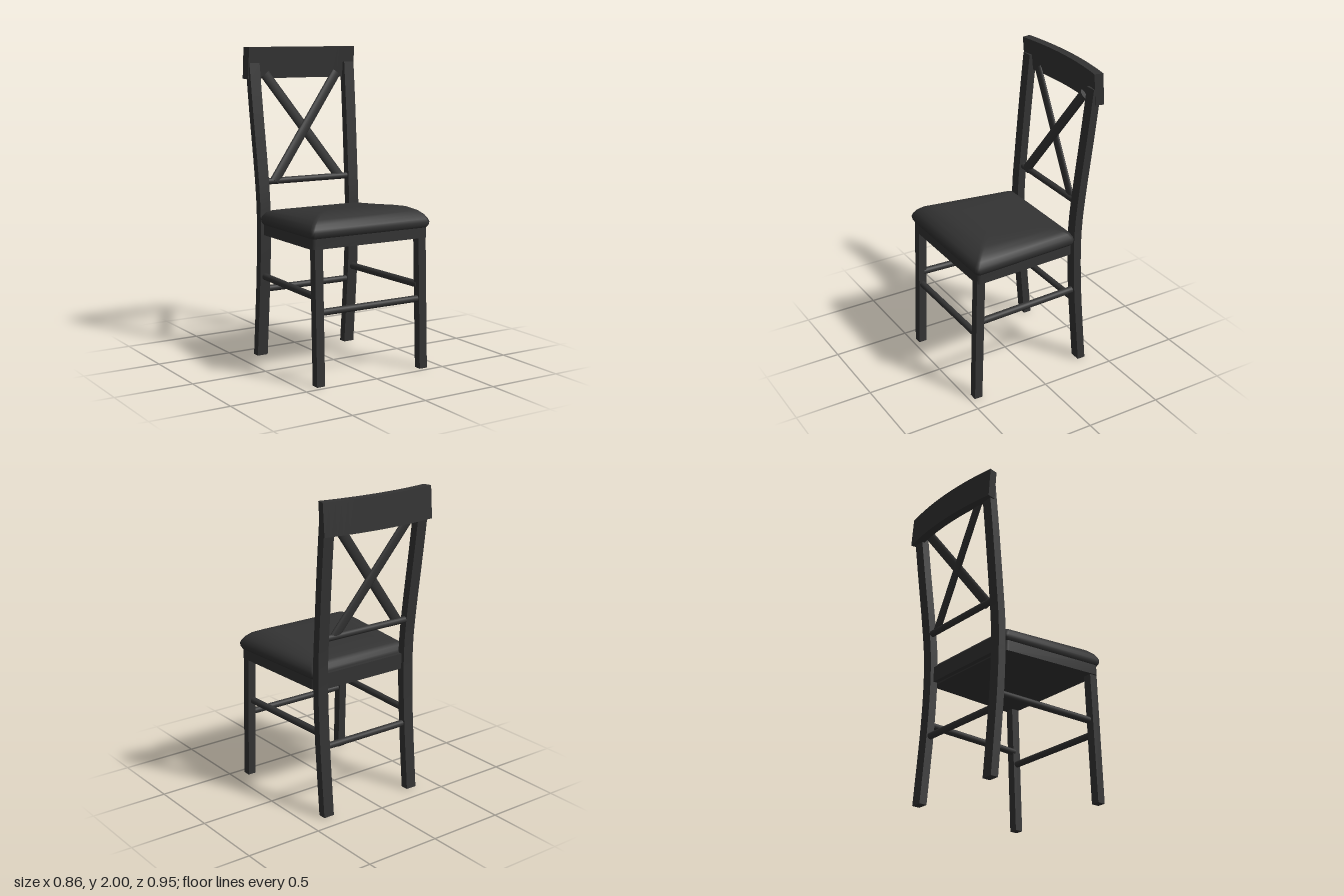
import * as THREE from 'three';
import { toCreasedNormals } from 'three/addons/utils/BufferGeometryUtils.js';

const material = new THREE.MeshStandardMaterial({ color: 0x333333 });

// Skin closed rings (counter-clockwise from above, listed bottom to top) and cap both ends.
function loft(rings, crease = 0.6) {
  const n = rings[0].length;
  const pos = rings.flat(2);
  const index = [];
  for (let i = 0; i < rings.length - 1; i++) {
    for (let j = 0; j < n; j++) {
      const k = (j + 1) % n;
      const a = i * n + j, b = i * n + k, c = b + n, d = a + n;
      index.push(a, b, c, a, c, d);
    }
  }
  [rings[0], rings[rings.length - 1]].forEach((ring, cap) => {
    const centre = pos.length / 3;
    const start = cap ? (rings.length - 1) * n : 0;
    for (let axis = 0; axis < 3; axis++) pos.push(ring.reduce((s, p) => s + p[axis], 0) / n);
    for (let j = 0; j < n; j++) {
      const a = start + j, b = start + (j + 1) % n;
      if (cap) index.push(centre, a, b);
      else index.push(centre, b, a);
    }
  });
  const geo = new THREE.BufferGeometry();
  geo.setAttribute('position', new THREE.Float32BufferAttribute(pos, 3));
  geo.setIndex(index);
  return toCreasedNormals(geo, crease);
}

// Rectangular section centred on (x, z) at height y.
function rect(x, y, z, w, d) {
  return [[x + w / 2, y, z + d / 2], [x + w / 2, y, z - d / 2],
    [x - w / 2, y, z - d / 2], [x - w / 2, y, z + d / 2]];
}

// Tapered seat outline with rounded corners, inset from the widest line and sloped in z.
const FRONT = 0.455, BACK = -0.285;
function seatRing(inset, yFront, yBack) {
  const r = 0.025, ring = [];
  const zf = FRONT - inset, zb = BACK + inset;
  const half = z => THREE.MathUtils.mapLinear(z, BACK, FRONT, 0.378, 0.43) - inset;
  const corners = [[1, zf, -1], [1, zb, 1], [-1, zb, 1], [-1, zf, -1]];
  corners.forEach(([sx, z, sz], c) => {
    const cx = sx * (half(z) - r), cz = z + sz * r;
    for (let i = 0; i <= 5; i++) {
      const t = (c - 1 + i / 5) * Math.PI / 2;
      const pz = cz - r * Math.sin(t);
      ring.push([cx + r * Math.cos(t), THREE.MathUtils.mapLinear(pz, BACK, FRONT, yBack, yFront), pz]);
    }
  });
  return ring;
}

// Rod between two points; flat < 1 squashes its depth.
function rod(from, to, radius, flat = 1) {
  const a = new THREE.Vector3(...from), b = new THREE.Vector3(...to);
  const dir = b.clone().sub(a);
  const geo = new THREE.CylinderGeometry(radius, radius, dir.length(), 20).scale(1, 1, flat);
  geo.applyQuaternion(new THREE.Quaternion().setFromUnitVectors(new THREE.Vector3(0, 1, 0), dir.normalize()));
  return geo.translate(...a.add(b).multiplyScalar(0.5).toArray());
}

export function createModel() {
  const chair = new THREE.Group();
  chair.name = 'chair';
  const add = (name, geo) => {
    const mesh = new THREE.Mesh(geo, material);
    mesh.name = name;
    chair.add(mesh);
  };

  // Seat frame and cushion
  add('seatFrame', loft([seatRing(0.014, 0.83, 0.812), seatRing(0.014, 0.905, 0.885)]));
  add('seatCushion', loft([
    [0.012, 0.895, 0.88], [0.003, 0.91, 0.895], [0, 0.93, 0.915], [0.006, 0.95, 0.935], [0.022, 0.975, 0.957],
    [0.05, 1.002, 0.97], [0.1, 1.03, 0.975], [0.16, 1.045, 0.974], [0.26, 1.047, 0.974],
  ].map(p => seatRing(...p)), 1.1));
  add('backApron', new THREE.BoxGeometry(0.62, 0.1, 0.03).translate(0, 0.865, -0.295));

  // Legs, back posts and side stretchers
  const postCurve = new THREE.CatmullRomCurve3([
    [0.335, 0, -0.365], [0.335, 0.27, -0.341], [0.335, 0.53, -0.32], [0.335, 0.8, -0.308], [0.336, 1, -0.31],
    [0.339, 1.2, -0.327], [0.35, 1.6, -0.37], [0.355, 1.9, -0.403],
  ].map(p => new THREE.Vector3(...p)));
  for (const [side, s] of [['left', 1], ['right', -1]]) {
    add(side + 'FrontLeg', loft([rect(s * 0.377, 0, 0.439, 0.055, 0.053), rect(s * 0.375, 0.85, 0.41, 0.055, 0.056)]));
    add(side + 'BackPost', loft(postCurve.getPoints(20).map(p => rect(s * p.x, p.y, p.z, 0.073, 0.053))));
    add(side + 'Stretcher', rod([s * 0.365, 0.532, 0.41], [s * 0.335, 0.532, -0.31], 0.022));
  }

  // Cross stretchers
  add('frontStretcher', rod([-0.37, 0.445, 0.424], [0.37, 0.445, 0.424], 0.021));
  add('backStretcher', rod([-0.33, 0.445, -0.325], [0.33, 0.445, -0.325], 0.021));

  // Lower back rail and crossed slats
  add('lowerBackRail', rod([-0.33, 1.146, -0.327], [0.33, 1.146, -0.327], 0.021));
  add('frontCrossSlat', rod([-0.25, 1.145, -0.317], [0.265, 1.83, -0.393], 0.034, 0.42));
  add('rearCrossSlat', rod([0.25, 1.145, -0.33], [-0.265, 1.83, -0.408], 0.034, 0.42));

  // Bowed, leaning top rail
  const rail = new THREE.BoxGeometry(0.8, 0.2, 0.056, 20, 1, 1).translate(0, 1.9, 0);
  const p = rail.attributes.position;
  for (let i = 0; i < p.count; i++) {
    const x = p.getX(i), y = p.getY(i), z = p.getZ(i);
    p.setX(i, x * (1 - z * 0.45));
    p.setZ(i, z - 0.438 + 0.037 * (x / 0.4) ** 2 - 0.08 * (y - 2) - 0.016);
    p.setZ(i, p.getZ(i) + 0.16 * (y - 2) + 0.016);
  }
  add('topRail', toCreasedNormals(rail, 0.6));

  return chair;
}
